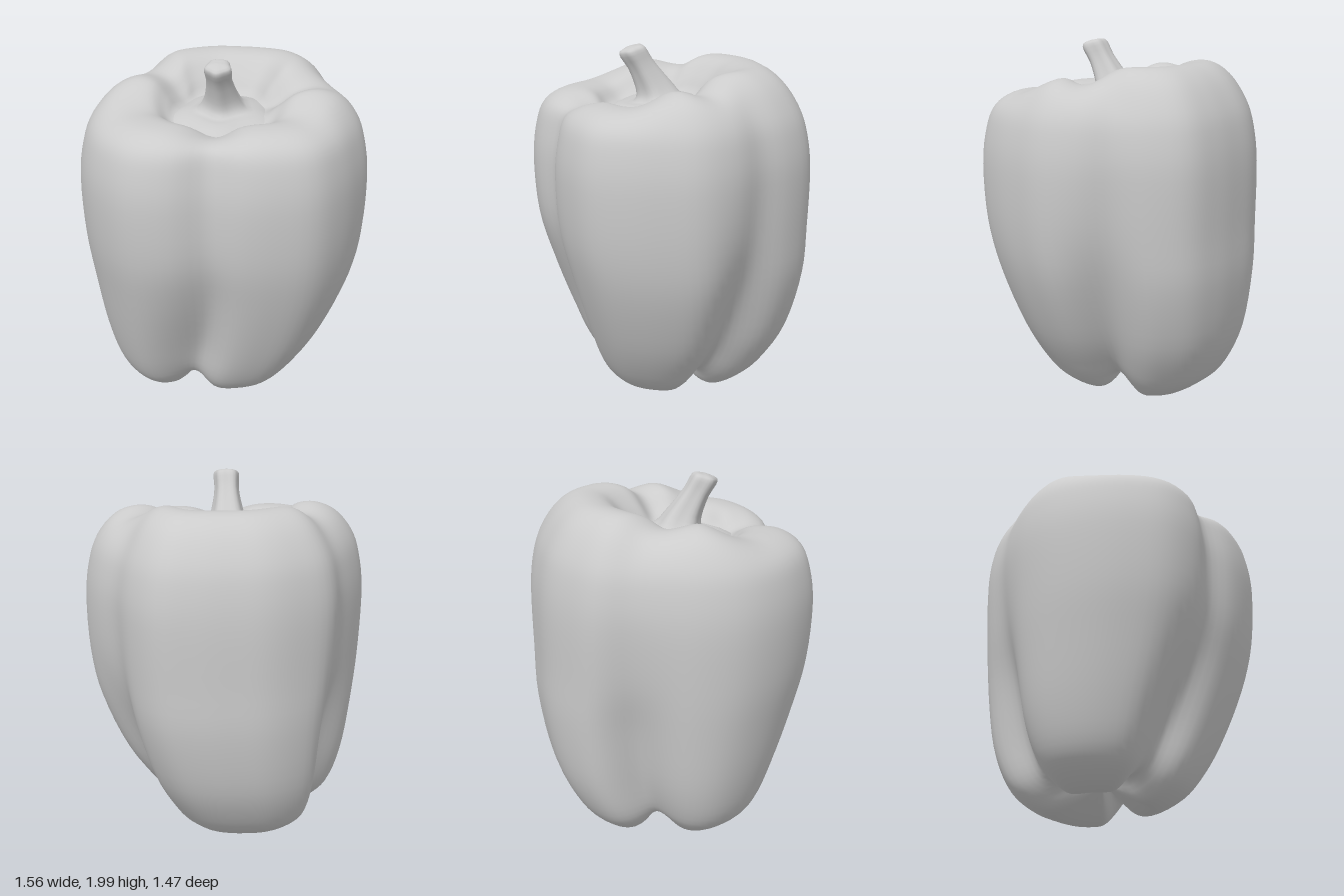
import * as THREE from 'three';

const DEG = Math.PI / 180;

// Catmull-Rom value at position t along a list of numbers
function spline(v, t, closed = false) {
  const n = v.length;
  const i = Math.floor(t), f = t - i;
  const at = k => closed ? v[((k % n) + n) % n] : v[Math.min(n - 1, Math.max(0, k))];
  const [a, b, c, d] = [at(i - 1), at(i), at(i + 1), at(i + 2)];
  return b + 0.5 * f * (c - a + f * (2 * a - 5 * b + 4 * c - d + f * (3 * (b - c) + d - a)));
}

// Skin closed rings, listed from top to bottom, into one smooth surface
function loft(name, ringCount, sides, point, material) {
  const pos = [], idx = [];
  for (let i = 0; i < ringCount; i++)
    for (let j = 0; j < sides; j++) pos.push(...point(i, (j / sides) * 360));
  for (let i = 0; i < ringCount - 1; i++)
    for (let j = 0; j < sides; j++) {
      const k = (j + 1) % sides;
      const a = i * sides + j, b = (i + 1) * sides + j, c = (i + 1) * sides + k, d = i * sides + k;
      idx.push(a, b, c, a, c, d);
    }
  const g = new THREE.BufferGeometry();
  g.setAttribute('position', new THREE.Float32BufferAttribute(pos, 3));
  g.setIndex(idx);
  g.computeVertexNormals();
  const mesh = new THREE.Mesh(g, material);
  mesh.name = name;
  return mesh;
}

// Widest outline: radius every 15 degrees, from the front towards +x
const OUTLINE = [
  0.655, 0.70, 0.74, 0.785, 0.775, 0.765, 0.775, 0.745, 0.705, 0.75, 0.785, 0.755,
  0.735, 0.745, 0.745, 0.75, 0.70, 0.72, 0.765, 0.805, 0.82, 0.825, 0.82, 0.755,
];

// Body rings: scale, y, centre x, centre z, side groove, front groove, shoulder, groove lift
const BODY = [
  [0.00, 1.66, -0.02, 0.07, 0.00, 0.00, 0.0, 0.00],
  [0.18, 1.66, -0.02, 0.07, 0.00, 0.00, 0.1, 0.00],
  [0.31, 1.68, -0.02, 0.06, 0.00, 0.00, 0.3, 0.00],
  [0.39, 1.74, -0.01, 0.05, 0.00, 0.00, 0.8, 0.00],
  [0.50, 1.82, 0.00, 0.03, 0.00, 0.00, 1.0, 0.00],
  [0.64, 1.835, 0.00, 0.00, 0.00, 0.00, 0.95, 0.00],
  [0.79, 1.78, 0.00, 0.00, 0.00, 0.02, 0.6, 0.00],
  [0.91, 1.665, 0.00, 0.00, 0.00, 0.02, 0.15, 0.00],
  [0.97, 1.53, 0.00, 0.00, 0.00, 0.02, 0.0, 0.00],
  [1.00, 1.33, 0.00, 0.00, 0.01, 0.01, 0.0, 0.00],
  [0.985, 1.02, 0.00, -0.01, 0.05, 0.01, 0.0, 0.00],
  [0.935, 0.74, -0.01, -0.04, 0.14, 0.07, 0.0, 0.00],
  [0.825, 0.42, -0.05, -0.06, 0.23, 0.17, 0.0, 0.00],
  [0.69, 0.20, -0.09, -0.05, 0.28, 0.20, 0.0, 0.02],
  [0.56, 0.09, -0.10, -0.04, 0.32, 0.24, 0.0, 0.06],
  [0.38, 0.025, -0.10, -0.04, 0.35, 0.28, 0.0, 0.12],
  [0.22, 0.06, -0.10, -0.03, 0.30, 0.25, 0.0, 0.10],
  [0.00, 0.16, -0.10, -0.02, 0.00, 0.00, 0.0, 0.00],
];

// Soft bump around the angle c, in degrees
function bump(a, c, width) {
  const d = ((a - c + 540) % 360) - 180;
  return Math.exp(-((d / width) ** 2));
}

function bodyPoint(t, a) {
  const [s, y, cx, cz, side, front, shoulder, lift] = BODY[0].map((_, k) => spline(BODY.map(r => r[k]), t));
  const facing = Math.cos(a * DEG);
  // the grooves drift as they run down between the three lobes
  const low = THREE.MathUtils.clamp((1.4 - y) / 1.2, 0, 1);
  const gFront = bump(a, -10 * low, 15);
  const gSide = bump(a, 119 - 17 * low - 20 * shoulder, 15)
    + bump(a, 240 + 7 * low + 8 * shoulder, 15 + 4 * low);
  // the back lobe loses its corner lower down
  const trim = 0.04 * low * bump(a, 143, 20);
  const r = Math.max(0, s) * spline(OUTLINE, a / 15, true) * (1 - side * gSide - front * gFront - trim);
  // the two front lobes sit lower than the sides, the back lobe higher
  const rise = 0.045 * THREE.MathUtils.smoothstep(-facing, 0.1, 0.7)
    - 0.11 * THREE.MathUtils.smoothstep(facing, 0.05, 0.65);
  const dy = shoulder * (rise - 0.08 * gFront - 0.05 * gSide) + lift * (gFront + gSide)
    - 0.02 * low * THREE.MathUtils.smoothstep(-facing, 0.1, 0.7);
  return [cx + r * Math.sin(a * DEG), y + dy, cz + r * facing];
}

// Stem rings: radius, y, centre z, forward tilt of the ring
const STEM = [
  [0.000, 1.988, 0.205, 0.0],
  [0.035, 1.985, 0.208, 0.25],
  [0.064, 1.972, 0.212, 0.25],
  [0.070, 1.945, 0.200, 0.3],
  [0.066, 1.890, 0.165, 0.35],
  [0.078, 1.815, 0.120, 0.35],
  [0.098, 1.750, 0.085, 0.3],
  [0.135, 1.700, 0.070, 0.15],
  [0.210, 1.685, 0.065, 0.05],
  [0.280, 1.655, 0.065, 0.05],
];

function stemPoint(t, a) {
  const [r0, y, cz, tilt] = STEM[0].map((_, k) => spline(STEM.map(r => r[k]), t));
  const r = Math.max(0, r0) * (1 + 0.07 * Math.cos(5 * a * DEG));
  const z = r * Math.cos(a * DEG);
  return [-0.015 + r * Math.sin(a * DEG), y - tilt * z, cz + z];
}

export function createModel() {
  const group = new THREE.Group();
  group.name = 'bellPepper';
  const material = new THREE.MeshStandardMaterial({ color: 0xcccccc });

  // Lobed fruit with its sunken top and pinched underside
  const steps = 4;
  group.add(loft('fruitBody', (BODY.length - 1) * steps + 1, 96,
    (i, a) => bodyPoint(i / steps, a), material));

  // Ribbed stem leaning to the front, flaring into the cap
  group.add(loft('stem', (STEM.length - 1) * 2 + 1, 30,
    (i, a) => stemPoint(i / 2, a), material));

  return group;
}
